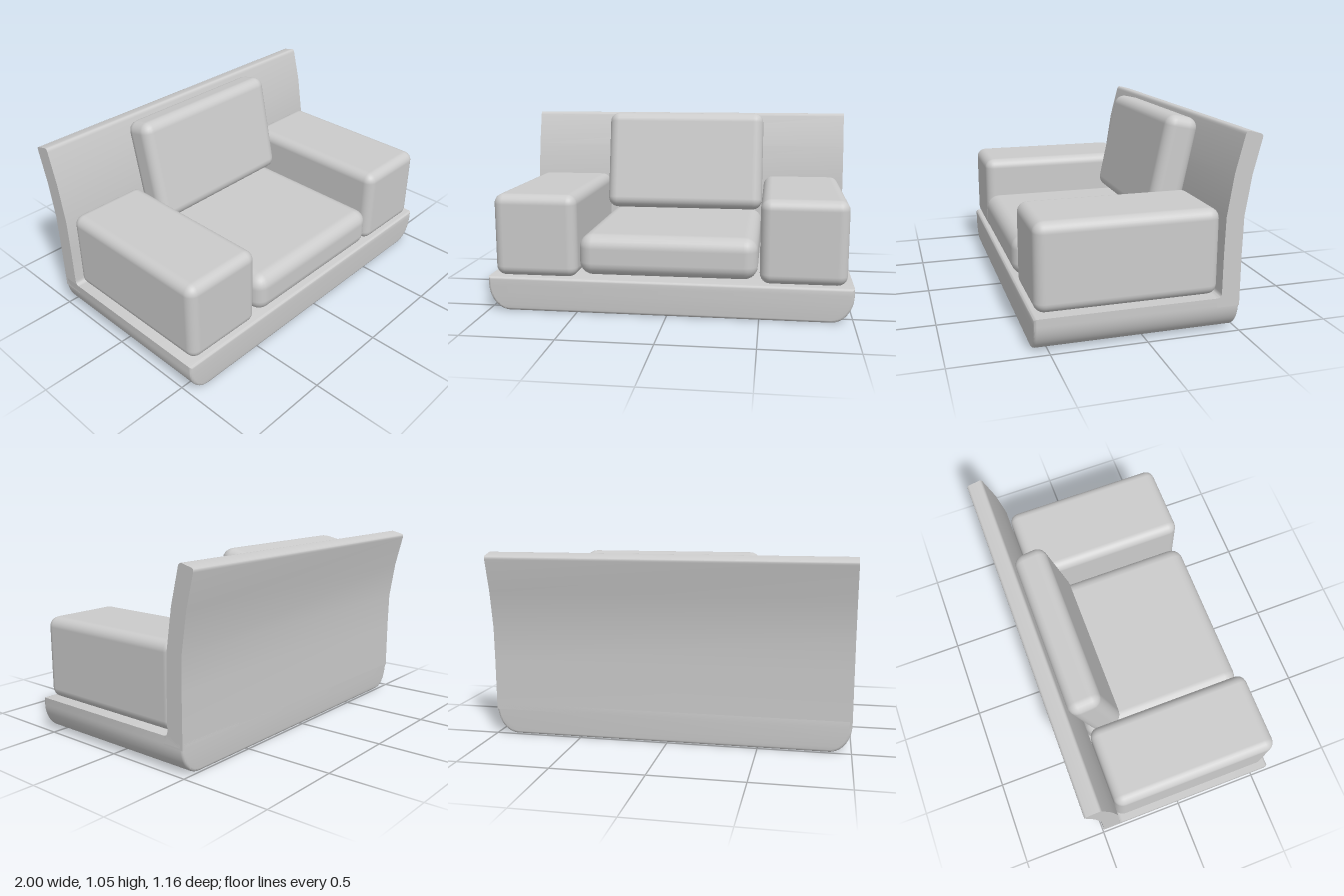
import * as THREE from 'three';
import { RoundedBoxGeometry } from 'three/addons/geometries/RoundedBoxGeometry.js';
import { toCreasedNormals } from 'three/addons/utils/BufferGeometryUtils.js';

const material = new THREE.MeshStandardMaterial({ color: 0xcccccc });

function addMesh(group, name, geometry, x = 0, y = 0, z = 0) {
  const mesh = new THREE.Mesh(geometry, material);
  mesh.name = name;
  mesh.position.set(x, y, z);
  group.add(mesh);
  return mesh;
}

// Base slab: front outline with rounded lower corners, extruded along z
function baseGeometry() {
  const h = 0.19, rx = 0.12, ry = 0.15, back = -0.494, front = 0.578, b = 0.015;
  const s = new THREE.Shape();
  s.moveTo(-1, h);
  s.lineTo(-1, ry);
  s.absellipse(-1 + rx, ry, rx, ry, Math.PI, 1.5 * Math.PI, false);
  s.lineTo(1 - rx, 0);
  s.absellipse(1 - rx, ry, rx, ry, 1.5 * Math.PI, 2 * Math.PI, false);
  s.lineTo(1, h);
  s.closePath();
  const g = new THREE.ExtrudeGeometry(s, {
    depth: front - back - 2 * b, curveSegments: 10,
    bevelThickness: b, bevelSize: b, bevelOffset: -b, bevelSegments: 3,
  });
  g.translate(0, 0, back + b);
  return toCreasedNormals(g, 0.6);
}

// Back panel: curved side profile (drawn as z, y) extruded across the width
function backGeometry() {
  const s = new THREE.Shape();
  s.moveTo(-0.494, 0.14);
  s.lineTo(-0.37, 0.14);
  s.lineTo(-0.37, 0.19);
  s.quadraticCurveTo(-0.395, 0.19, -0.395, 0.215);
  s.lineTo(-0.396, 0.42);
  s.lineTo(-0.401, 0.615);
  s.lineTo(-0.435, 0.835);
  s.lineTo(-0.483, 1.025);
  s.quadraticCurveTo(-0.488, 1.046, -0.505, 1.043);
  s.lineTo(-0.565, 1.028);
  s.quadraticCurveTo(-0.581, 1.024, -0.576, 1.005);
  s.lineTo(-0.531, 0.826);
  s.lineTo(-0.498, 0.615);
  s.lineTo(-0.494, 0.42);
  s.closePath();
  const g = new THREE.ExtrudeGeometry(s, { depth: 2, bevelEnabled: false, curveSegments: 4 });
  g.rotateY(-Math.PI / 2); // profile x becomes z, depth runs along -x
  g.translate(1, 0, 0);
  return toCreasedNormals(g, 0.6);
}

export function createModel() {
  const sofa = new THREE.Group();
  sofa.name = 'sofa';

  addMesh(sofa, 'base', baseGeometry());
  addMesh(sofa, 'backPanel', backGeometry());

  // Matching block arms
  for (const [name, side] of [['leftArm', 1], ['rightArm', -1]]) {
    addMesh(sofa, name, new RoundedBoxGeometry(0.466, 0.46, 0.96, 4, 0.055), side * 0.733, 0.42, 0.084);
  }

  // Seat cushion and reclined back cushion
  addMesh(sofa, 'seatCushion', new RoundedBoxGeometry(0.98, 0.23, 0.975, 3, 0.075), 0, 0.322, 0.09);
  const backCushion = addMesh(sofa, 'backCushion', new RoundedBoxGeometry(0.98, 0.606, 0.19, 3, 0.06), 0, 0.743, -0.327);
  backCushion.rotation.x = -0.209;

  return sofa;
}
